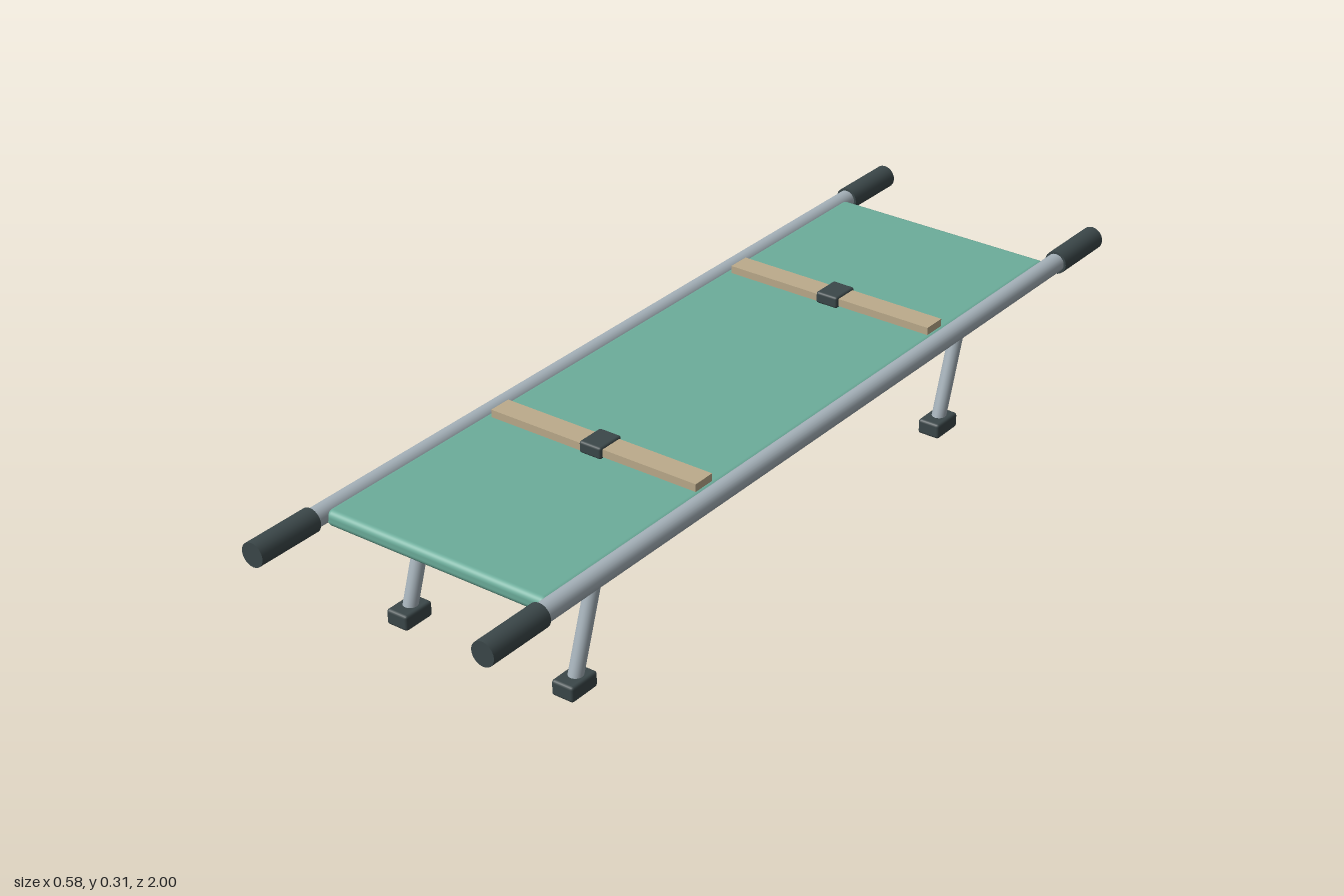
import * as THREE from 'three';
import { RoundedBoxGeometry } from 'three/addons/geometries/RoundedBoxGeometry.js';

const mat = (color) => new THREE.MeshStandardMaterial({ color });
const metal = mat(0xa4b0b8);
const rubber = mat(0x3b4749);
const fabric = mat(0x6cad9b);
const webbing = mat(0xbcab8b);

function add(parent, name, geometry, material, x, y, z) {
  const mesh = new THREE.Mesh(geometry, material);
  mesh.name = name;
  mesh.position.set(x, y, z);
  parent.add(mesh);
  return mesh;
}

// Cylinder running between two points
function rod(parent, name, radius, a, b, material) {
  const from = new THREE.Vector3(...a), to = new THREE.Vector3(...b);
  const dir = to.clone().sub(from);
  const mid = from.add(to).multiplyScalar(0.5);
  const mesh = add(parent, name, new THREE.CylinderGeometry(radius, radius, dir.length(), 24), material, mid.x, mid.y, mid.z);
  mesh.quaternion.setFromUnitVectors(new THREE.Vector3(0, 1, 0), dir.normalize());
  return mesh;
}

export function createModel() {
  const model = new THREE.Group();
  model.name = 'stretcher';

  // Fabric bed between the poles
  add(model, 'bed', new RoundedBoxGeometry(0.51, 0.033, 1.652, 4, 0.013), fabric, 0, 0.271, 0);

  for (const side of [-1, 1]) {
    // Carrying poles with a grip on each end
    const x = side * 0.265;
    rod(model, 'pole', 0.02, [x, 0.275, -0.95], [x, 0.275, 0.95], metal);
    for (const end of [-1, 1]) {
      rod(model, 'grip', 0.025, [x, 0.275, end * 0.85], [x, 0.275, end], rubber);
    }

    // Legs, all leaning toward the front at the foot
    for (const z of [0.68, -0.518]) {
      const leg = new THREE.Group();
      leg.name = 'leg';
      leg.position.set(side * 0.197, 0, z);
      rod(leg, 'legTube', 0.015, [0, 0.02, 0], [0, 0.265, -0.08], metal);
      add(leg, 'foot', new RoundedBoxGeometry(0.05, 0.033, 0.073, 2, 0.006), rubber, 0, 0.0175, 0);
      model.add(leg);
    }
  }

  // Two-piece straps joined by a buckle
  for (const z of [0.358, -0.41]) {
    const strap = new THREE.Group();
    strap.name = 'strap';
    strap.position.set(0, 0, z);
    add(strap, 'strapRight', new THREE.BoxGeometry(0.24, 0.016, 0.05), webbing, -0.116, 0.296, 0);
    add(strap, 'strapLeft', new THREE.BoxGeometry(0.24, 0.016, 0.05), webbing, 0.127, 0.3, 0);
    add(strap, 'buckle', new RoundedBoxGeometry(0.051, 0.025, 0.064, 2, 0.005), rubber, 0.007, 0.3, 0);
    model.add(strap);
  }
  return model;
}
